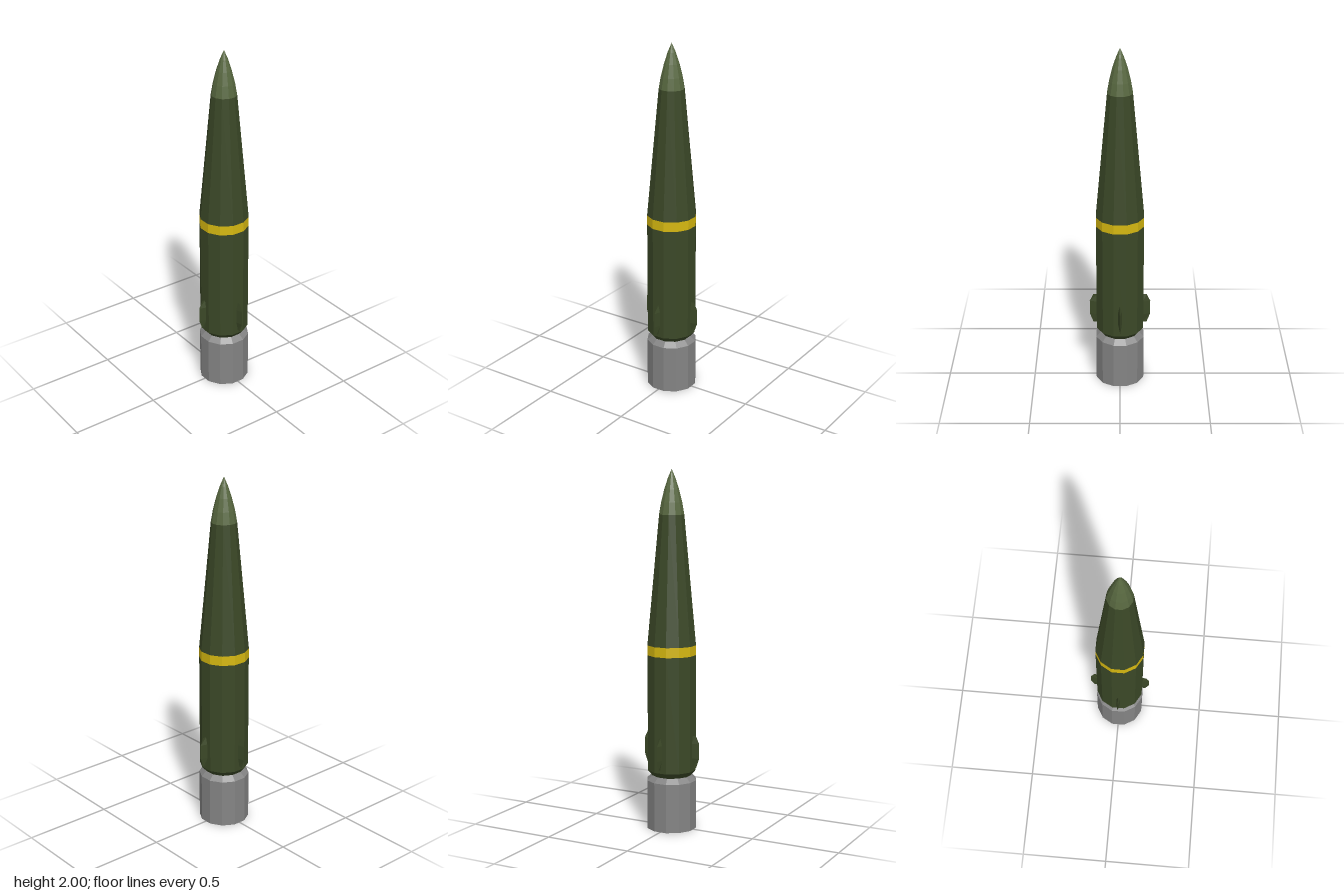
import * as THREE from 'three';

const SIDES = 12;
const APOTHEM = Math.cos(Math.PI / SIDES);

function paint(name, color) {
  const m = new THREE.MeshStandardMaterial({ color, flatShading: true });
  m.name = name;
  return m;
}

// Twelve-sided turned part; profile is [flat distance, y] from bottom to top
function turned(name, profile, material) {
  const points = profile.map(([r, y]) => new THREE.Vector2(r / APOTHEM, y));
  const mesh = new THREE.Mesh(new THREE.LatheGeometry(points, SIDES, Math.PI / SIDES), material);
  mesh.name = name;
  return mesh;
}

// Wedge fin pointing to +x: lens-shaped root narrowing to a sharp outer ridge
function finGeometry() {
  const rows = [ // y, root half width, ridge distance
    [0.355, 0, 0.153],
    [0.41, 0.011, 0.173],
    [0.493, 0.011, 0.173],
    [0.536, 0, 0.153],
  ];
  const root = 0.13;
  const pos = [];
  const quad = (a, b, c, d) => pos.push(...a, ...b, ...c, ...a, ...c, ...d);
  for (let i = 0; i < rows.length - 1; i++) {
    const [y0, w0, x0] = rows[i];
    const [y1, w1, x1] = rows[i + 1];
    quad([root, y0, w0], [x0, y0, 0], [x1, y1, 0], [root, y1, w1]);
    quad([x0, y0, 0], [root, y0, -w0], [root, y1, -w1], [x1, y1, 0]);
  }
  const g = new THREE.BufferGeometry();
  g.setAttribute('position', new THREE.Float32BufferAttribute(pos, 3));
  g.computeVertexNormals();
  return g;
}

export function createModel() {
  const group = new THREE.Group();
  group.name = 'shell';
  const olive = paint('olive', 0x3b4827);
  const paleOlive = paint('pale olive', 0x586840);
  const yellow = paint('yellow', 0xd6b810);
  const grey = paint('grey', 0x848484);

  // Base canister with chamfered shoulder
  group.add(turned('base', [[0, 0], [0.1365, 0], [0.1365, 0.276], [0.108, 0.304]], grey));

  // Body, band, taper and nose
  group.add(turned('body', [[0.108, 0.304], [0.133, 0.335], [0.133, 0.985]], olive));
  group.add(turned('band', [[0.133, 0.985], [0.133, 1.04]], yellow));
  group.add(turned('taper', [[0.133, 1.04], [0.068, 1.755]], olive));
  group.add(turned('nose', [[0.068, 1.755], [0.057, 1.82], [0.04, 1.89], [0.021, 1.95], [0, 2]], paleOlive));

  // Four fins
  const fin = finGeometry();
  const finPaint = olive.clone();
  finPaint.side = THREE.DoubleSide;
  for (let i = 0; i < 4; i++) {
    const mesh = new THREE.Mesh(fin, finPaint);
    mesh.name = 'fin';
    mesh.rotation.y = (i * Math.PI) / 2;
    group.add(mesh);
  }
  return group;
}
